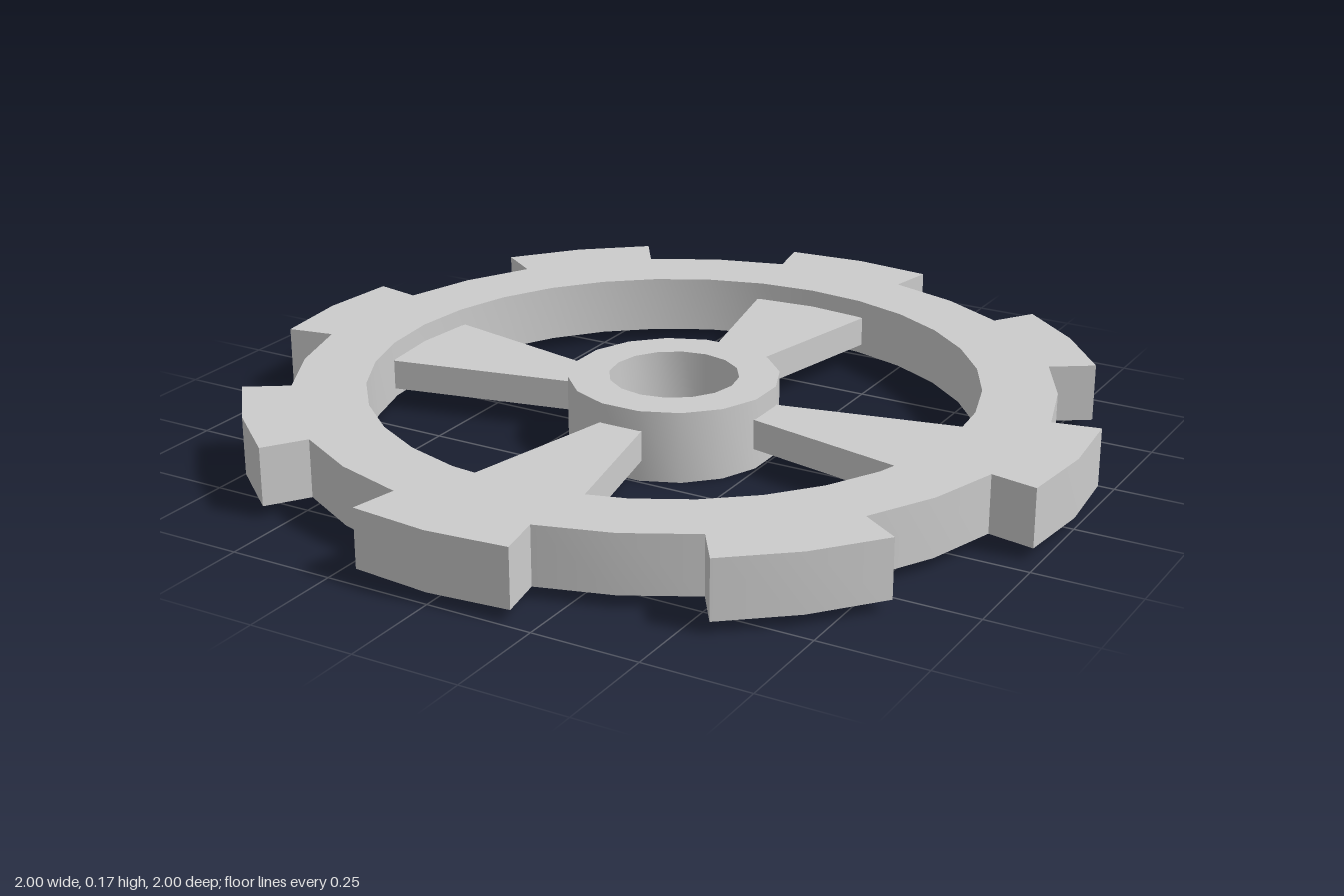
import * as THREE from 'three';
import { toCreasedNormals } from 'three/addons/utils/BufferGeometryUtils.js';

const material = new THREE.MeshStandardMaterial({ color: 0xcccccc });
const TEETH = 8, HALF_TOOTH = 11 * Math.PI / 180;
const ROOT = 0.887, TIP = 1.0, RIM_INNER = 0.715;

const polar = (r, a) => new THREE.Vector2(r * Math.cos(a), r * Math.sin(a));

function circle(r, sides, offset = 0) {
  return Array.from({ length: sides }, (_, i) => polar(r, offset + i / sides * Math.PI * 2));
}

// Flat outline, with an optional hole, raised from y0 to y1
function plate(name, outline, hole, y0, y1) {
  const shape = new THREE.Shape(outline);
  if (hole) shape.holes.push(new THREE.Path(hole));
  const geometry = new THREE.ExtrudeGeometry(shape, { depth: y1 - y0, bevelEnabled: false });
  geometry.rotateX(-Math.PI / 2).translate(0, y0, 0);
  const mesh = new THREE.Mesh(toCreasedNormals(geometry, 0.5), material);
  mesh.name = name;
  return mesh;
}

export function createModel() {
  const group = new THREE.Group();
  group.name = 'spokedGear';

  // Toothed rim: three points across each tooth tip, three along each gap
  const outline = [];
  const step = Math.PI * 2 / TEETH;
  for (let i = 0; i < TEETH; i++) {
    const a = i * step;
    outline.push(
      polar(ROOT, a - HALF_TOOTH), polar(TIP, a - HALF_TOOTH), polar(TIP, a),
      polar(TIP, a + HALF_TOOTH), polar(ROOT, a + HALF_TOOTH), polar(ROOT, a + step / 2));
  }
  group.add(plate('toothedRim', outline, circle(RIM_INNER, 32), 0.027, 0.165));

  // Hub with its axle hole
  group.add(plate('hub', circle(0.248, 16, Math.PI / 16), circle(0.153, 16), 0, 0.17));

  // Four flared spokes, thinner than the rim
  const spoke = [[0.22, -0.05], [0.72, -0.156], [0.73, 0], [0.72, 0.156], [0.22, 0.05]]
    .map(([x, y]) => new THREE.Vector2(x, y));
  for (let i = 0; i < 4; i++) {
    const mesh = plate('spoke', spoke, null, 0.05, 0.122);
    mesh.rotation.y = i * Math.PI / 2;
    group.add(mesh);
  }
  return group;
}
